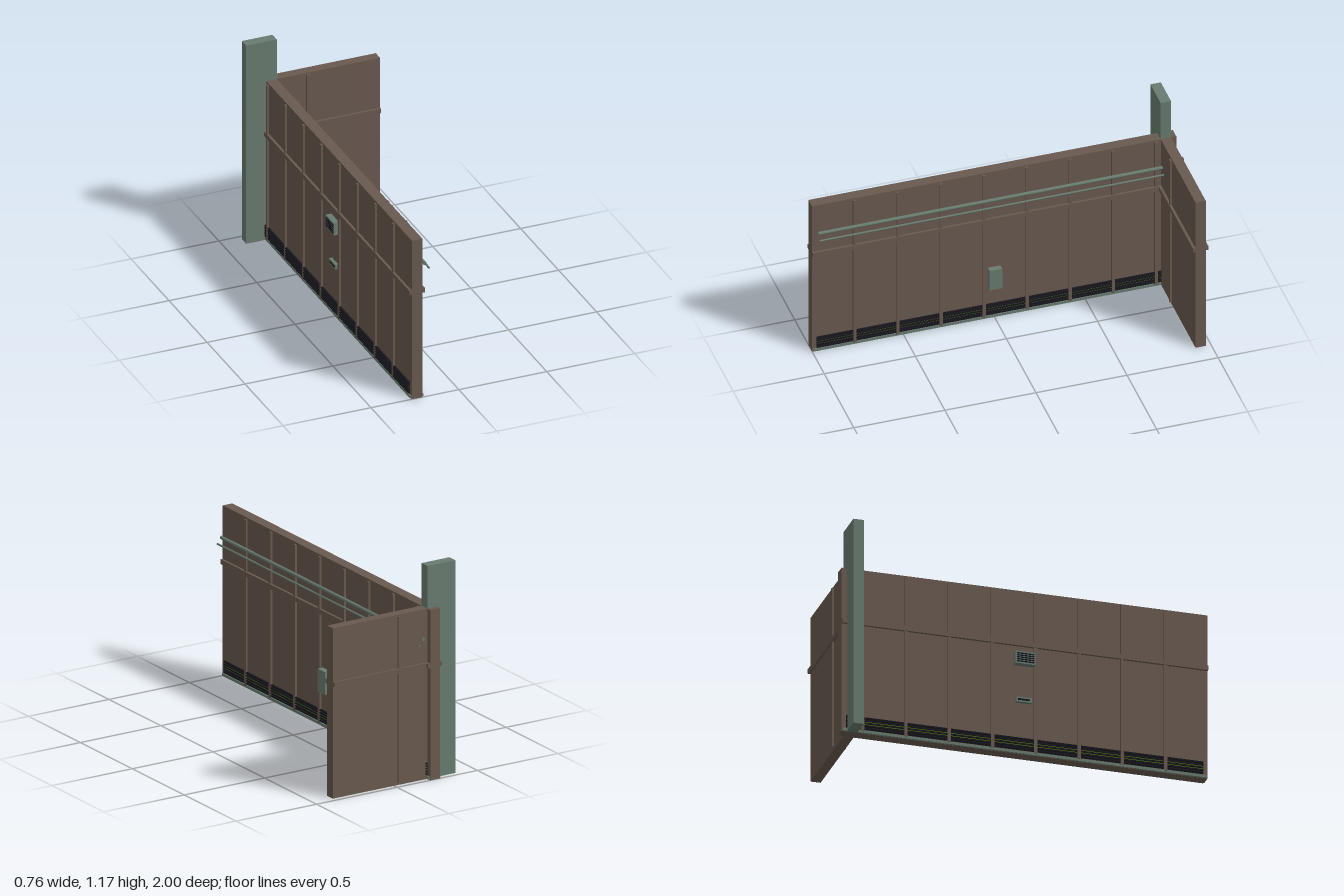
import * as THREE from 'three';

const mat = (name, color) => {
  const m = new THREE.MeshStandardMaterial({ color });
  m.name = name;
  return m;
};

export function createModel() {
  const root = new THREE.Group();
  root.name = 'corridorWalls';
  const brown = mat('brownPanel', 0x68594f);
  const teal = mat('greyGreenMetal', 0x687b70);
  const dark = mat('darkGrille', 0x17161d);
  const green = mat('greenGlow', 0x5c8a14);

  // Box given by its minimum and maximum on each axis
  const box = (name, m, x0, x1, y0, y1, z0, z1) => {
    const mesh = new THREE.Mesh(new THREE.BoxGeometry(x1 - x0, y1 - y0, z1 - z0), m);
    mesh.position.set((x0 + x1) / 2, (y0 + y1) / 2, (z0 + z1) / 2);
    mesh.name = name;
    root.add(mesh);
  };

  // Main slabs and tall pillar
  box('longWall', brown, -0.267, -0.207, 0, 0.94, -1, 1);
  box('sideWall', brown, -0.207, 0.38, 0, 0.94, -0.971, -0.915);
  box('pillar', teal, -0.382, -0.208, 0, 1.175, -0.971, -0.914);

  // Horizontal rails wrapping both faces of each wall
  box('longWallRail', brown, -0.281, -0.193, 0.619, 0.645, -1, 1);
  box('sideWallRail', brown, -0.207, 0.38, 0.619, 0.645, -0.985, -0.901);

  // Vertical battens
  for (let i = 0; i < 8; i++) {
    const z = 0.768 - i * 0.2365;
    box('longWallBatten', brown, -0.278, -0.196, 0.013, 0.93, z - 0.009, z + 0.009);
  }
  box('sideWallBatten', brown, -0.04, -0.022, 0.013, 0.93, -0.981, -0.905);

  // Skirting and louvred grille along the foot of both faces
  for (const s of [-1, 1]) {
    const at = (name, m, d0, d1, y0, y1, z) => {
      const a = -0.237 + s * d0, b = -0.237 + s * d1;
      box(name, m, Math.min(a, b), Math.max(a, b), y0, y1, -z, z);
    };
    at('skirting', teal, 0.029, 0.037, 0.002, 0.017, 0.995);
    at('grilleBacking', dark, 0.029, 0.033, 0.022, 0.088, 0.975);
    at('grilleLight', green, 0.03, 0.0345, 0.046, 0.074, 0.973);
    for (let i = 0; i < 5; i++) {
      const y = 0.024 + i * 0.0145;
      at('grilleSlat', dark, 0.03, 0.0405, y, y + 0.0085, 0.975);
    }
  }

  // Pipes running along the inner face and through the side wall
  for (const [x, y, r] of [[-0.182, 0.775, 0.0095], [-0.158, 0.744, 0.0055]]) {
    const pipe = new THREE.Mesh(new THREE.CylinderGeometry(r, r, 1.95, 12), teal);
    pipe.rotation.x = Math.PI / 2;
    pipe.position.set(x, y, 0);
    pipe.name = 'pipe';
    root.add(pipe);
  }

  // Control box on the inner face
  box('controlBox', teal, -0.207, -0.175, 0.198, 0.324, -0.034, 0.036);

  // Vent unit with dark slots on the outer face
  box('ventUnit', teal, -0.3, -0.267, 0.508, 0.578, -0.06, 0.05);
  for (let i = 0; i < 5; i++) {
    const y = 0.517 + i * 0.0115;
    box('ventSlot', dark, -0.303, -0.298, y, y + 0.006, -0.052, 0.042);
  }

  // Small plate with a dark slot below the vent
  box('smallPlate', teal, -0.285, -0.267, 0.294, 0.322, -0.05, 0.035);
  box('smallSlot', dark, -0.2865, -0.284, 0.303, 0.313, -0.04, 0.025);

  return root;
}
